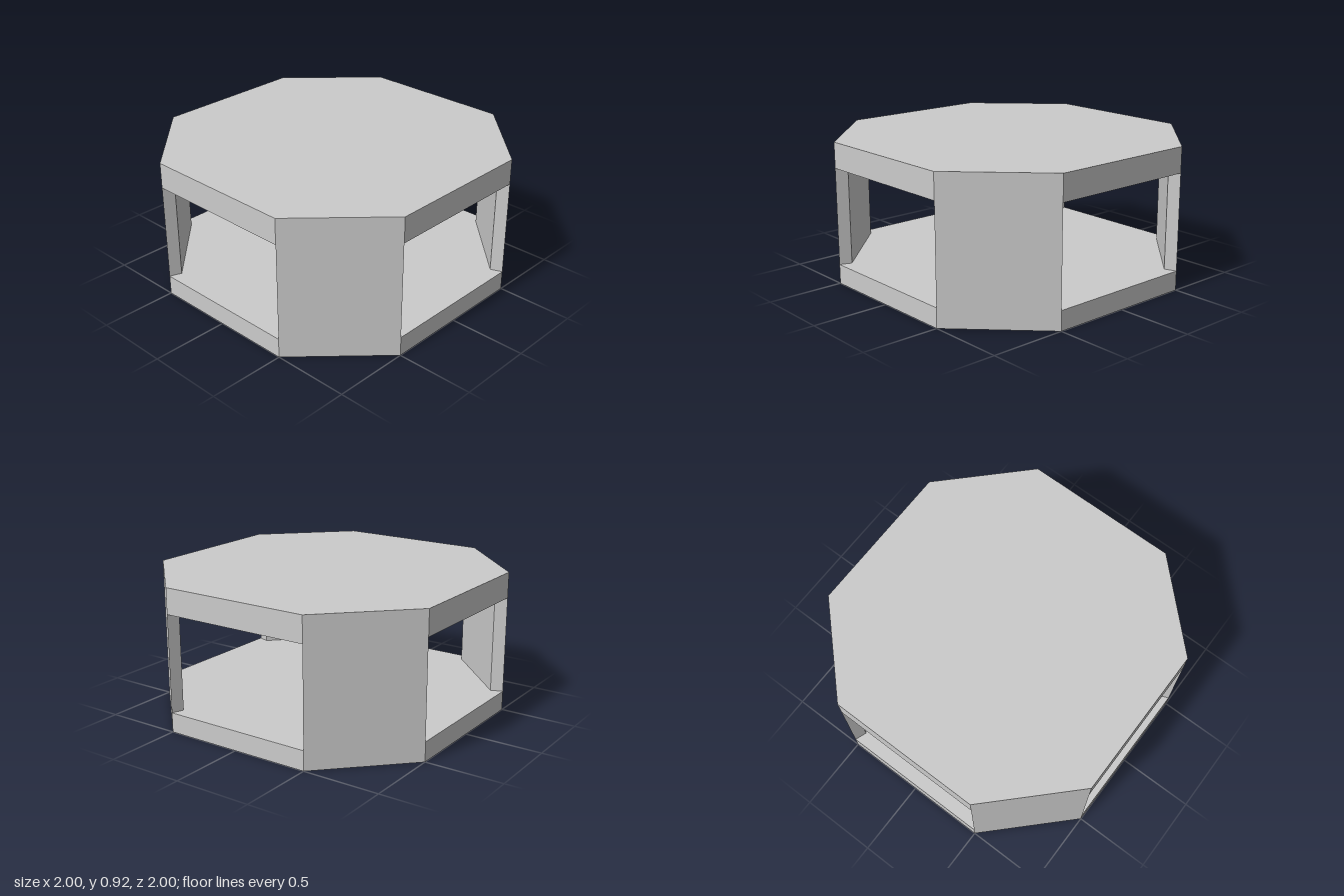
import * as THREE from 'three';

const HEIGHT = 0.92;
const FLOOR_TOP = 0.126;
const CEILING = 0.754;

const material = new THREE.MeshStandardMaterial({ color: 0xcccccc, flatShading: true });

// Upright prism from a plan outline of [x, z] points
function prism(name, outline, bottom, top) {
  const shape = new THREE.Shape(outline.map(([x, z]) => new THREE.Vector2(x, -z)));
  const geometry = new THREE.ExtrudeGeometry(shape, { depth: top - bottom, bevelEnabled: false });
  geometry.rotateX(-Math.PI / 2);
  geometry.translate(0, bottom, 0);
  const mesh = new THREE.Mesh(geometry, material);
  mesh.name = name;
  return mesh;
}

export function createModel() {
  const group = new THREE.Group();
  group.name = 'octagonalTable';

  // Octagonal base and top slabs
  const octagon = [
    [0.5, 1], [1, 0.5], [1, -0.5], [0.5, -1],
    [-0.5, -1], [-1, -0.5], [-1, 0.5], [-0.5, 1],
  ];
  group.add(prism('baseSlab', octagon, 0, FLOOR_TOP));
  group.add(prism('topSlab', octagon, CEILING, HEIGHT));

  // Mitred wall panels on the four diagonal sides
  const panel = [[0.5, 1], [1, 0.5], [0.925, 0.472], [0.472, 0.925]];
  const names = ['frontLeftPanel', 'backLeftPanel', 'backRightPanel', 'frontRightPanel'];
  names.forEach((name, i) => {
    const wall = prism(name, panel, FLOOR_TOP, CEILING);
    wall.rotation.y = i * Math.PI / 2;
    group.add(wall);
  });

  return group;
}
